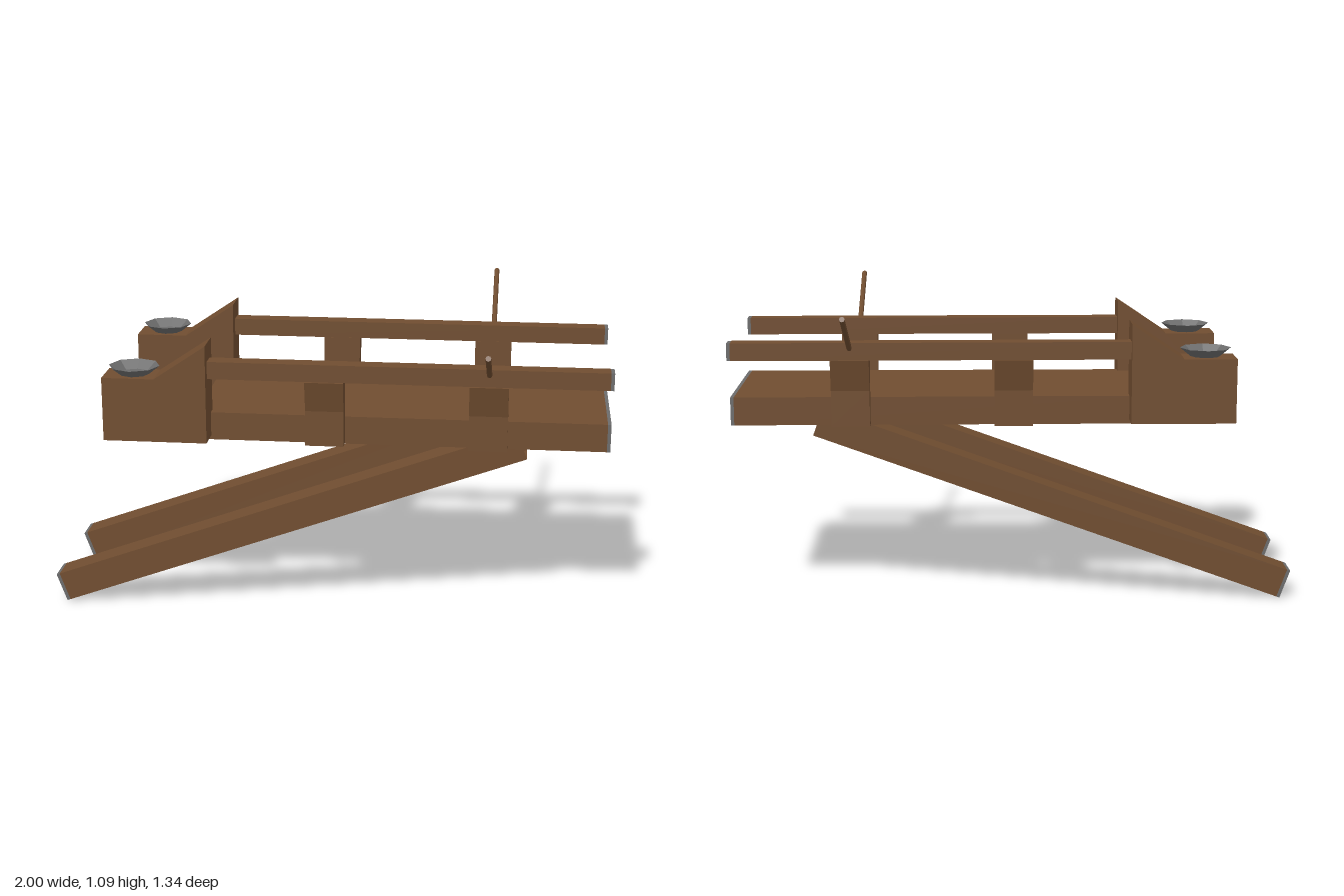
import * as THREE from 'three';

export function createModel() {
  const root = new THREE.Group();
  const wood = new THREE.MeshStandardMaterial({ color: 0x704d30, side: THREE.DoubleSide, flatShading: true });
  wood.name = 'brown wood';
  const metal = new THREE.MeshStandardMaterial({ color: 0x6c6c6c, side: THREE.DoubleSide, flatShading: true });
  metal.name = 'grey metal';

  const add = (parent, name, geometry, material, x = 0, y = 0, z = 0) => {
    const mesh = new THREE.Mesh(geometry, material);
    mesh.name = name;
    mesh.position.set(x, y, z);
    parent.add(mesh);
    return mesh;
  };

  // Box without its two x ends
  const openBox = (l, h, d) => {
    const g = new THREE.BoxGeometry(l, h, d);
    g.setIndex(Array.from(g.index.array).slice(12));
    g.clearGroups();
    return g;
  };

  // Hollow beam running along x from x0 to x1, with thin grey rims at its ends
  const rim = 0.012;
  const beam = (name, x0, x1, h, d, rimStart, rimEnd) => {
    const group = new THREE.Group();
    group.name = name;
    const a = x0 + (rimStart ? rim : 0);
    const b = x1 - (rimEnd ? rim : 0);
    add(group, name + 'Body', openBox(b - a, h, d), wood, (a + b) / 2);
    if (rimStart) add(group, name + 'StartRim', openBox(rim, h, d), metal, x0 + rim / 2);
    if (rimEnd) add(group, name + 'EndRim', openBox(rim, h, d), metal, x1 - rim / 2);
    root.add(group);
    return group;
  };

  const shapeOf = (pts) => new THREE.Shape(pts.map(([x, y]) => new THREE.Vector2(x, y)));

  // Deck
  beam('deck', -0.46, 1, 0.1, 0.56, false, true).position.y = 0.7;

  // Post profile (z, y), flaring outward to carry the rail
  const postShape = shapeOf([[0.28, 0.653], [0.327, 0.653], [0.327, 0.78], [0.353, 0.89], [0.28, 0.89]]);
  const postGeometry = new THREE.ExtrudeGeometry(postShape, { depth: 0.135, bevelEnabled: false });
  postGeometry.translate(0, 0, -0.0675);
  postGeometry.rotateY(-Math.PI / 2);

  // Block with a ramp, open underneath
  const blockShape = shapeOf([[-0.775, 0.665], [-0.407, 0.665], [-0.407, 1.016], [-0.59, 0.893], [-0.775, 0.893]]);
  const blockGeometry = new THREE.ExtrudeGeometry(blockShape, { depth: 0.132, bevelEnabled: false }).toNonIndexed();
  blockGeometry.translate(0, 0, -0.066);
  const normals = blockGeometry.attributes.normal;
  const kept = [];
  for (let i = 0; i < normals.count; i += 3) {
    if (normals.getY(i) > -0.9) kept.push(i, i + 1, i + 2);
  }
  blockGeometry.clearGroups();
  blockGeometry.setIndex(kept);

  for (const s of [1, -1]) {
    const side = s > 0 ? 'front' : 'back';

    // Sloping leg, its upper end inside the deck
    const leg = beam(side + 'Leg', 0, 1.784, 0.107, 0.107, true, false);
    leg.position.set(-0.982, 0.05, s * 0.215);
    leg.rotation.z = THREE.MathUtils.degToRad(20);

    // Rail
    beam(side + 'Rail', -0.41, 1, 0.062, 0.062, false, true).position.set(0, 0.921, s * 0.312);

    // Posts
    for (const x of [0.003, 0.575]) {
      add(root, side + 'Post', postGeometry, wood, x).rotation.y = s > 0 ? 0 : Math.PI;
    }

    // Ramp block and the dish on it
    add(root, side + 'Block', blockGeometry, wood, 0, 0, s > 0 ? 0.312 : -0.3);
    const dish = new THREE.Group();
    dish.name = side + 'Dish';
    dish.position.set(-0.67, 0.895, s > 0 ? 0.313 : -0.298);
    add(dish, 'dishWall', new THREE.CylinderGeometry(0.09, 0.053, 0.03, 8, 1, true), metal, 0, 0.015);
    add(dish, 'dishFloor', new THREE.CircleGeometry(0.053, 8).rotateX(-Math.PI / 2), metal, 0, 0.002);
    root.add(dish);

    // Slanted rod
    const from = new THREE.Vector3(0.575, 0.914, s * 0.3);
    const to = new THREE.Vector3(0.575, 1.08, s * 0.668);
    const rod = add(root, side + 'Rod', new THREE.CylinderGeometry(0.0095, 0.0095, from.distanceTo(to), 8), wood);
    rod.position.lerpVectors(from, to, 0.5);
    rod.quaternion.setFromUnitVectors(new THREE.Vector3(0, 1, 0), to.clone().sub(from).normalize());
  }

  return root;
}
